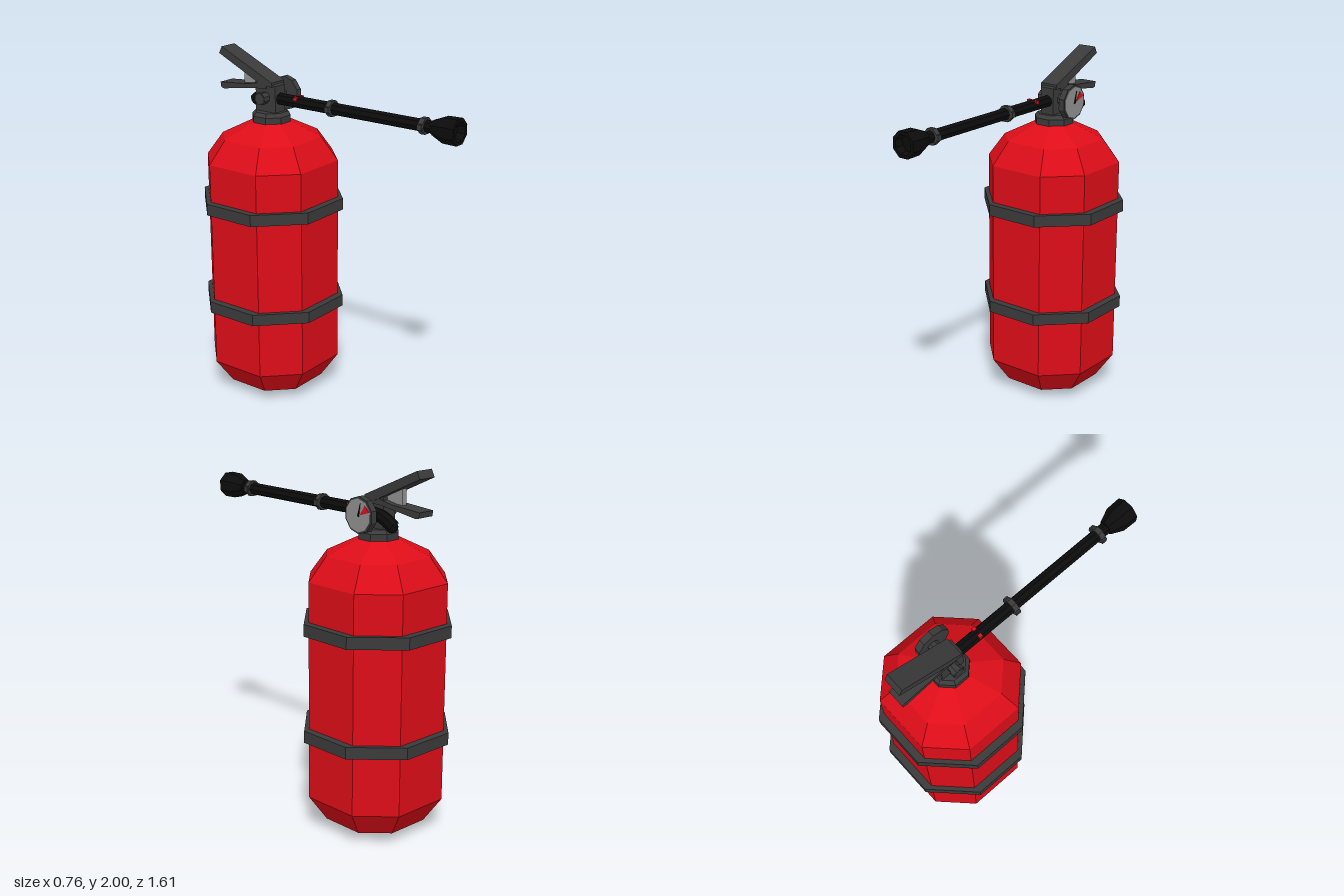
import * as THREE from 'three';

const CZ = -0.425; // tank axis
const mat = (color, extra = {}) => new THREE.MeshStandardMaterial({ color, flatShading: true, ...extra });

export function createModel() {
  const group = new THREE.Group();
  const red = mat(0xdd0d18), dark = mat(0x3a3a3a), black = mat(0x0c0c0c), grey = mat(0x909090);

  const add = (name, geometry, material, x = 0, y = 0, z = 0) => {
    const mesh = new THREE.Mesh(geometry, material);
    mesh.name = name;
    mesh.position.set(x, y, z);
    group.add(mesh);
    return mesh;
  };
  const v2 = (pts) => pts.map(([a, b]) => new THREE.Vector2(a, b));

  // Eight-sided lathe with flats facing the axes; r is measured to the flats
  const lathe8 = (pts) => new THREE.LatheGeometry(
    v2(pts.map(([r, y]) => [r / Math.cos(Math.PI / 8), y])), 8, Math.PI / 8);

  // Side outline given as [z, y], extruded to a width centred on x = 0
  const plate = (pts, width) => {
    const g = new THREE.ExtrudeGeometry(new THREE.Shape(v2(pts)), { depth: width, bevelEnabled: false });
    return g.translate(0, 0, -width / 2).rotateY(-Math.PI / 2);
  };
  const cylX = (r, length, sides) => new THREE.CylinderGeometry(r, r, length, sides)
    .rotateY(Math.PI / sides).rotateZ(-Math.PI / 2);

  // Tank: main flats a little wider than the diagonal ones
  const tank = lathe8([[0, 0], [0.115, 0.005], [0.25, 0.06], [0.34, 0.2],
    [0.34, 1.4], [0.255, 1.53], [0.1, 1.615], [0, 1.615]]);
  const p = tank.attributes.position;
  for (let i = 0; i < p.count; i++) {
    const x = p.getX(i), z = p.getZ(i);
    if (Math.abs(x) > Math.abs(z)) p.setZ(i, Math.sign(z) * Math.abs(x) * 0.49);
    else p.setX(i, Math.sign(x) * Math.abs(z) * 0.49);
  }
  add('tank', tank, red, 0, 0, CZ);

  // Straps around the tank
  for (const y of [0.53, 1.12]) {
    add('strap', lathe8([[0.335, 0], [0.382, 0], [0.382, 0.066], [0.335, 0.066], [0.335, 0]]), dark, 0, y, CZ);
  }

  // Neck collar and valve
  add('collar', lathe8([[0, 1.6], [0.103, 1.605], [0.103, 1.65], [0.085, 1.67], [0, 1.67]]), dark, 0, 0, CZ);
  add('valveBody', plate([[-0.36, 1.66], [-0.36, 1.82], [-0.4, 1.84], [-0.5, 1.84], [-0.5, 1.66]], 0.085), dark);
  add('crossPin', cylX(0.032, 0.2, 8), dark, 0.005, 1.75, -0.43);
  add('pinKnob', cylX(0.036, 0.025, 8), dark, -0.08, 1.75, -0.43);

  // Upper lever, lower grip and the web between them
  add('lever', plate([[-0.375, 1.815], [-0.375, 1.84], [-0.735, 2], [-0.755, 1.96], [-0.44, 1.815]], 0.108), dark);
  add('grip', plate([[-0.42, 1.84], [-0.56, 1.81], [-0.755, 1.795], [-0.75, 1.765],
    [-0.73, 1.76], [-0.5, 1.795], [-0.42, 1.8]], 0.1), dark);
  add('leverWeb', plate([[-0.45, 1.83], [-0.605, 1.91], [-0.605, 1.8], [-0.5, 1.805]], 0.03), grey);

  // Pressure gauge on the left side
  add('gaugeHousing', cylX(0.098, 0.036, 10), dark, 0.124, 1.748, -0.42);
  add('gaugeFace', cylX(0.088, 0.004, 10), grey, 0.143, 1.748, -0.42);
  add('gaugeZone', plate([[-0.432, 1.75], [-0.468, 1.802], [-0.502, 1.772]], 0.004), red, 0.145);
  add('gaugeNeedle', plate([[-0.415, 1.742], [-0.427, 1.742], [-0.436, 1.81]], 0.004), black, 0.1465);

  // Hose bend behind the valve
  const bend = new THREE.CatmullRomCurve3([[0.04, 1.745, -0.42], [0.062, 1.745, -0.5],
    [0.062, 1.725, -0.55], [0.058, 1.695, -0.59]].map((a) => new THREE.Vector3(...a)));
  add('hoseBend', new THREE.TubeGeometry(bend, 6, 0.036, 8), black);
  add('hoseBendEnd', new THREE.IcosahedronGeometry(0.034, 1), black, 0.058, 1.7, -0.575);

  // Hose, clamps, red marks and nozzle
  const hose = new THREE.CylinderGeometry(0.034, 0.034, 1.05, 8).rotateX(Math.PI / 2);
  add('hose', hose, black, 0, 1.745, 0.125);
  for (const z of [0, 0.59]) {
    add('hoseClamp', new THREE.CylinderGeometry(0.046, 0.046, 0.03, 8)
      .rotateY(Math.PI / 8).rotateX(Math.PI / 2), dark, 0, 1.745, z);
    add('clampTabs', new THREE.BoxGeometry(0.104, 0.03, 0.028), dark, 0, 1.745, z);
  }
  for (const s of [-1, 1]) {
    add('hoseMark', new THREE.BoxGeometry(0.018, 0.018, 0.022), red, s * 0.024, 1.768, -0.23);
  }
  const nozzle = lathe8([[0, 0.63], [0.038, 0.645], [0.066, 0.715], [0.068, 0.8], [0.05, 0.8], [0.04, 0.76], [0, 0.76]]);
  add('nozzle', nozzle.rotateX(Math.PI / 2), black, 0, 1.745, 0);

  return group;
}
